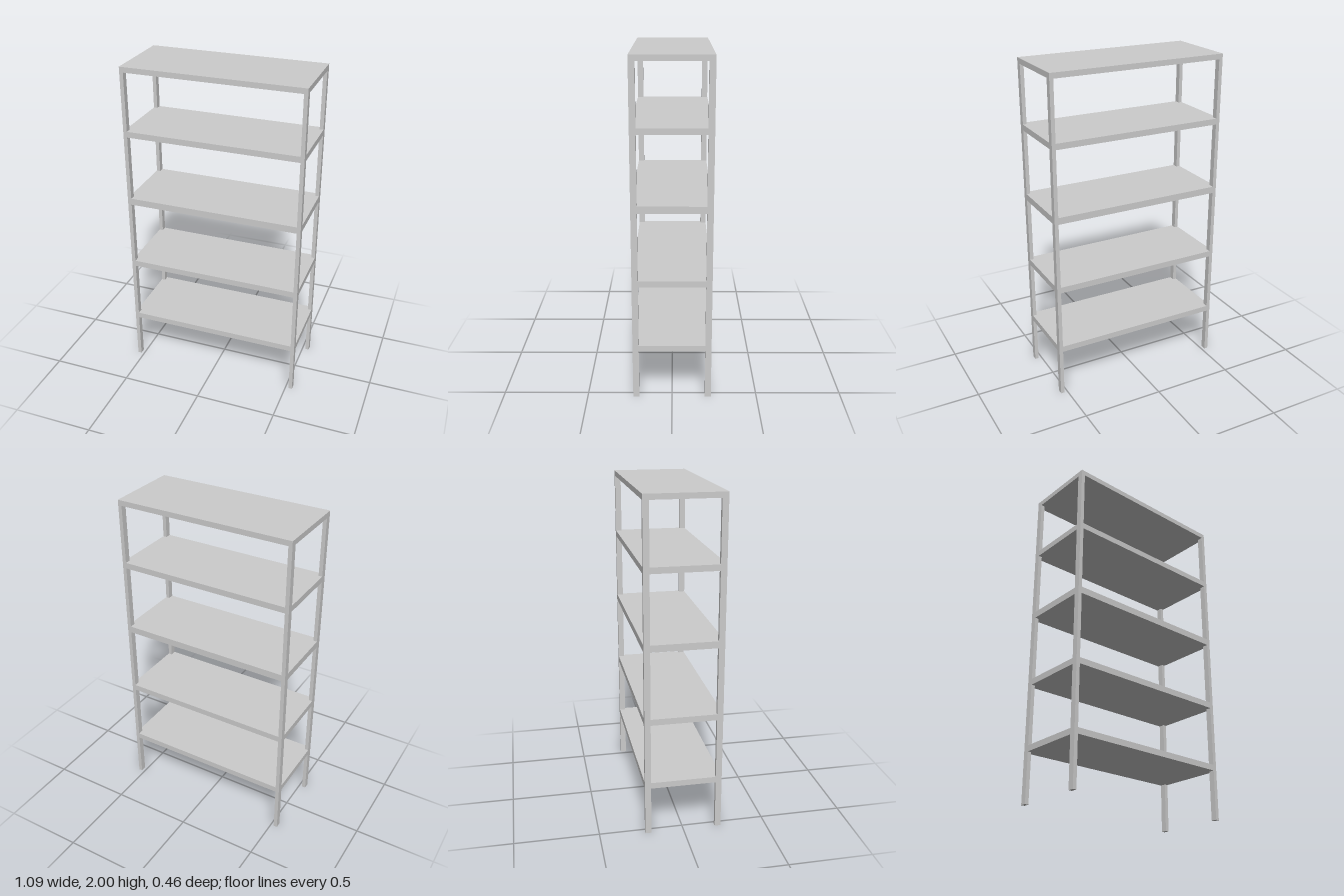
import * as THREE from 'three';

const HALF_X = 0.543, HALF_Z = 0.23;   // outer half width and depth
const POST_X = 0.023, POST_Z = 0.036;  // post section
const TOP_UNDERSIDE = 1.968;

export function createModel() {
  const group = new THREE.Group();
  const material = new THREE.MeshStandardMaterial({ color: 0xcccccc, flatShading: true });

  const add = (name, geometry, x, y, z) => {
    const mesh = new THREE.Mesh(geometry, material);
    mesh.name = name;
    mesh.position.set(x, y, z);
    group.add(mesh);
  };

  // Four corner posts, under the top board
  const postGeometry = new THREE.BoxGeometry(POST_X, TOP_UNDERSIDE, POST_Z);
  for (const sx of [1, -1]) {
    for (const sz of [1, -1]) {
      add(`${sz > 0 ? 'front' : 'back'}${sx > 0 ? 'Left' : 'Right'}Post`, postGeometry,
        sx * (HALF_X - POST_X / 2), TOP_UNDERSIDE / 2, sz * (HALF_Z - POST_Z / 2));
    }
  }

  // Shelf outline with its corners notched around the posts
  const ix = HALF_X - POST_X, iz = HALF_Z - POST_Z;
  const outline = new THREE.Shape([
    [ix, -HALF_Z], [ix, -iz], [HALF_X, -iz], [HALF_X, iz], [ix, iz], [ix, HALF_Z],
    [-ix, HALF_Z], [-ix, iz], [-HALF_X, iz], [-HALF_X, -iz], [-ix, -iz], [-ix, -HALF_Z],
  ].map(([x, z]) => new THREE.Vector2(x, z)));

  // Four lower shelves: underside and upper surface heights
  const levels = [[0.297, 0.333], [0.7, 0.737], [1.139, 1.18], [1.579, 1.615]];
  levels.forEach(([bottom, top], i) => {
    const geometry = new THREE.ExtrudeGeometry(outline, { depth: top - bottom, bevelEnabled: false });
    geometry.rotateX(-Math.PI / 2);
    add(`shelf${i + 1}`, geometry, 0, bottom, 0);
  });

  // Full top board covering the posts
  add('topShelf', new THREE.BoxGeometry(2 * HALF_X, 2 - TOP_UNDERSIDE, 2 * HALF_Z),
    0, (2 + TOP_UNDERSIDE) / 2, 0);

  return group;
}
